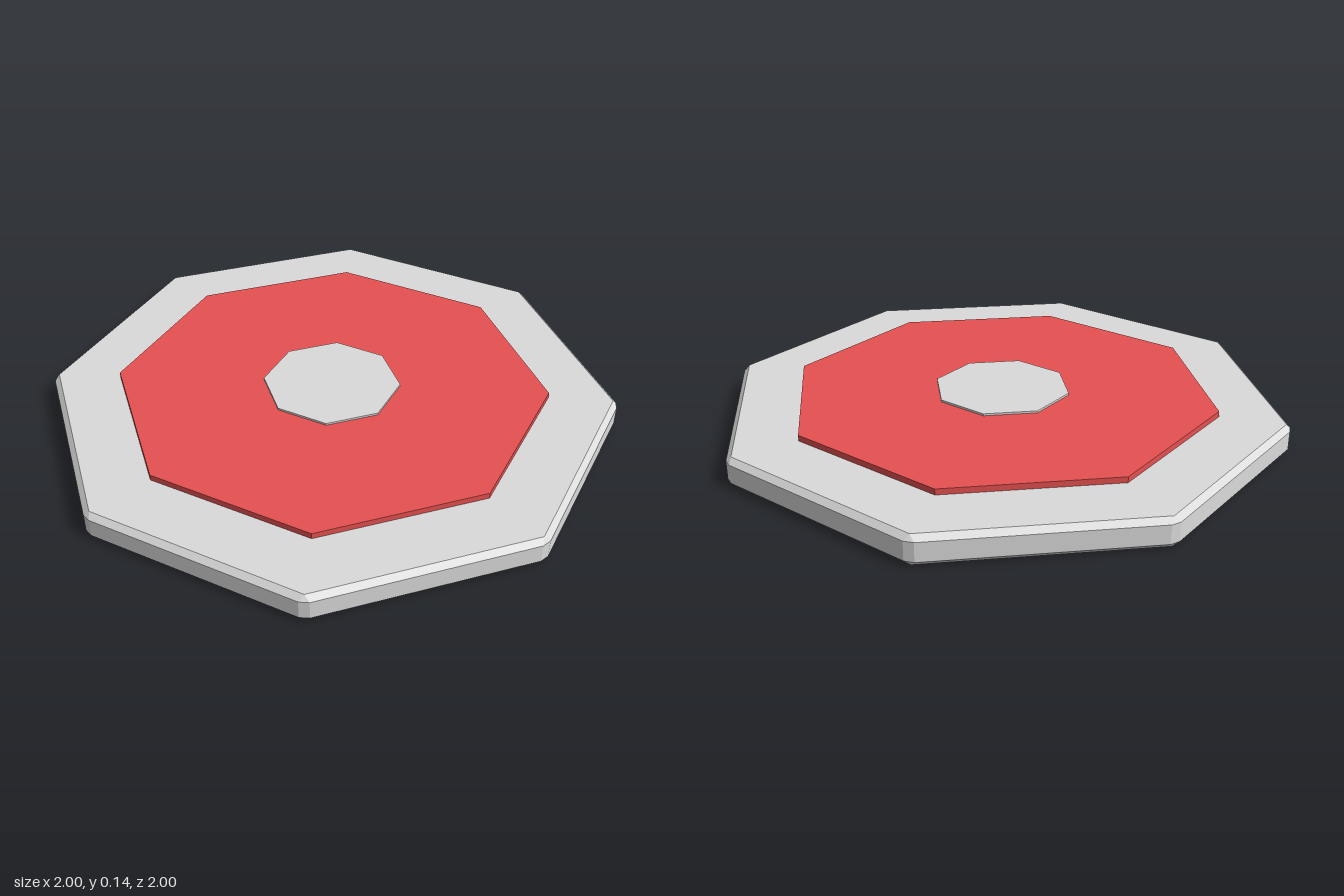
import * as THREE from 'three';
import { ConvexGeometry } from 'three/addons/geometries/ConvexGeometry.js';

// Points around an octagon with flat sides on the axes; halfWidths mark the points on each side.
function octagonRing(apothem, halfWidths, y) {
  const points = [];
  for (let i = 0; i < 8; i++) {
    for (const w of halfWidths) {
      points.push(new THREE.Vector3(w, y, apothem).applyAxisAngle(new THREE.Vector3(0, 1, 0), i * Math.PI / 4));
    }
  }
  return points;
}

// Straight-sided octagonal slab standing on the ground
function octagonSlab(name, apothem, height, material) {
  const radius = apothem / Math.cos(Math.PI / 8);
  const geometry = new THREE.CylinderGeometry(radius, radius, height, 8, 1, false, Math.PI / 8).toNonIndexed();
  geometry.computeVertexNormals();
  geometry.translate(0, height / 2, 0);
  const mesh = new THREE.Mesh(geometry, material);
  mesh.name = name;
  return mesh;
}

export function createModel() {
  const grey = new THREE.MeshStandardMaterial({ name: 'light grey', color: 0xdbdbdb });
  const red = new THREE.MeshStandardMaterial({ name: 'red', color: 0xe65050 });

  const model = new THREE.Group();
  model.name = 'octagonalPad';

  // Base plate with bevelled rims and chamfered corners
  const rim = 0.98 * Math.tan(Math.PI / 8);
  const base = new THREE.Mesh(new ConvexGeometry([
    ...octagonRing(0.98, [rim], 0),
    ...octagonRing(1, [-0.395, 0.395], 0.02),
    ...octagonRing(1, [-0.395, 0.395], 0.09),
    ...octagonRing(0.98, [rim], 0.11),
  ]), grey);
  base.name = 'basePlate';
  model.add(base);

  // Red pad and centre cap run right through the base, flush with its underside
  model.add(octagonSlab('redPad', 0.757, 0.132, red));
  model.add(octagonSlab('centreCap', 0.24, 0.14, grey));

  return model;
}
